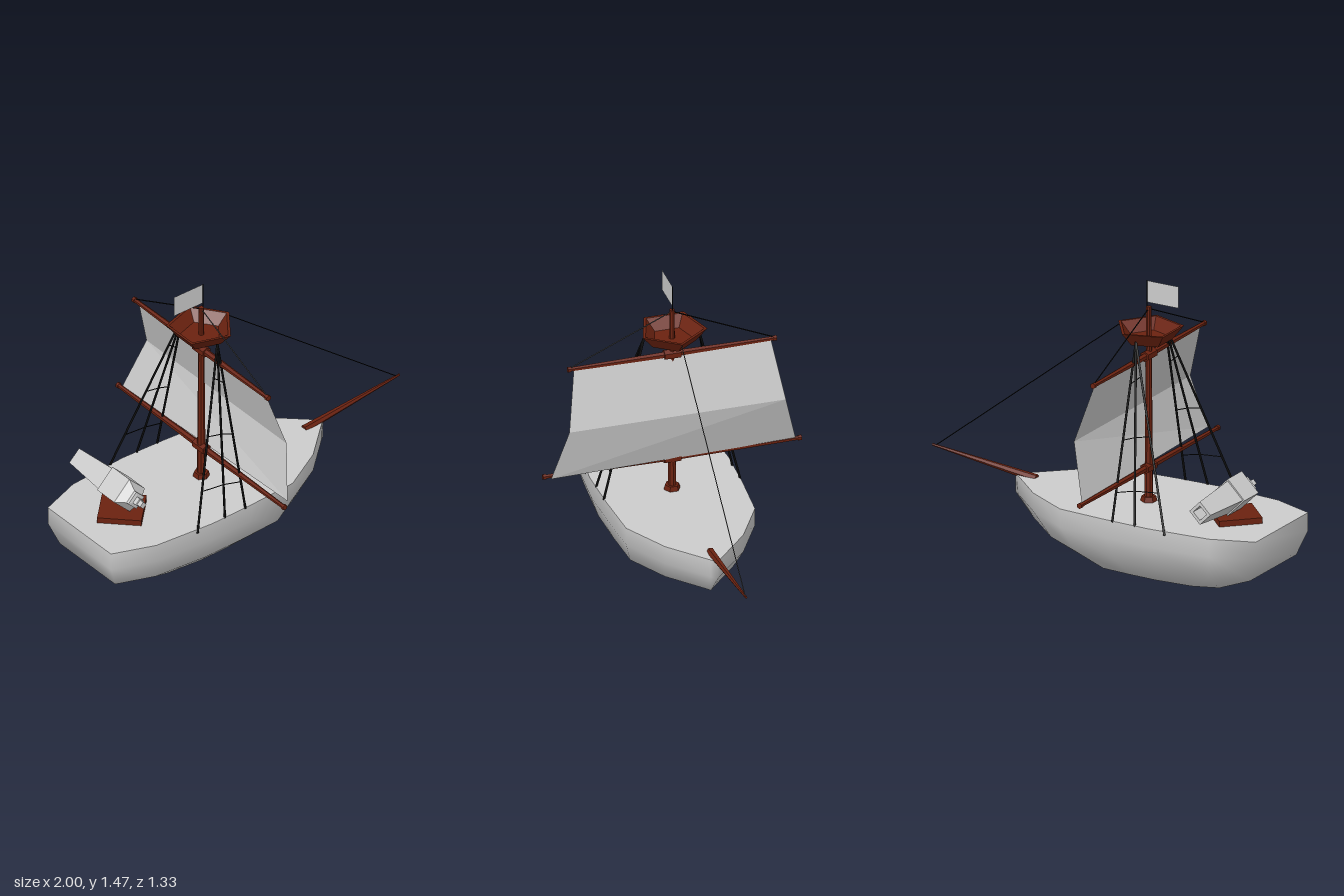
import * as THREE from 'three';

const DECK = 0.32, MAST_X = -0.24;
const V = (x, y, z) => new THREE.Vector3(x, y, z);

export function createModel() {
  const ship = new THREE.Group();
  ship.name = 'sailingShip';

  const grey = new THREE.MeshStandardMaterial({ color: 0xcccccc });
  const greyFlat = new THREE.MeshStandardMaterial({ color: 0xcccccc, flatShading: true });
  const cloth = new THREE.MeshStandardMaterial({ color: 0xcccccc, flatShading: true, side: THREE.DoubleSide });
  const wood = new THREE.MeshStandardMaterial({ color: 0x6b2210, flatShading: true });
  const rope = new THREE.MeshStandardMaterial({ color: 0x0a0a0a });

  const add = (name, geometry, material, parent = ship) => {
    const mesh = new THREE.Mesh(geometry, material);
    mesh.name = name;
    parent.add(mesh);
    return mesh;
  };

  // Tapered round bar between two points
  const beam = (name, a, b, ra, rb, sides, material, parent = ship) => {
    const dir = b.clone().sub(a);
    const mesh = add(name, new THREE.CylinderGeometry(rb, ra, dir.length(), sides), material, parent);
    mesh.position.copy(a).add(b).multiplyScalar(0.5);
    mesh.quaternion.setFromUnitVectors(V(0, 1, 0), dir.normalize());
    return mesh;
  };

  const meshFrom = (points, index) => {
    const g = new THREE.BufferGeometry().setFromPoints(points);
    g.setIndex(index);
    g.computeVertexNormals();
    return g;
  };

  // Hull: one outline, shrunk level by level toward the keel
  const half = [[0.52, 0], [0.49, 0.025], [0.3, 0.2], [0.07, 0.33], [-0.2, 0.348], [-0.45, 0.355], [-0.78, 0.33], [-1, 0.25]];
  const outline = [...half, ...half.slice(1).reverse().map(([x, z]) => [x, -z])];
  const N = outline.length;
  const ring = ([y, stern, bow, width]) => outline.map(([x, z]) =>
    V(stern + ((x + 1) / 1.52) * (bow - stern), y, z * width));
  const levels = [
    [DECK, -1, 0.52, 1], [0.225, -1, 0.52, 1], [0.1, -0.95, 0.41, 0.88], [0, -0.73, 0.17, 0.59],
  ];
  const hullPoints = levels.flatMap(ring);
  const hullIndex = [];
  const keel = hullPoints.push(V(-0.28, 0, 0)) - 1;
  for (let i = 0; i < N; i++) {
    const j = (i + 1) % N;
    for (let k = 0; k < levels.length - 1; k++) {
      const a = k * N + i, b = k * N + j;
      hullIndex.push(a, b, a + N, b, b + N, a + N);
    }
    hullIndex.push(keel, 3 * N + i, 3 * N + j);
  }
  add('hull', meshFrom(hullPoints, hullIndex), grey);

  const deckPoints = [...ring(levels[0]), V(-0.28, DECK, 0)];
  add('deck', meshFrom(deckPoints, outline.flatMap((_, i) => [N, (i + 1) % N, i])), grey);

  // Mast, its foot, and the bowsprit
  beam('mast', V(MAST_X, DECK, 0), V(MAST_X, 1.33, 0), 0.022, 0.013, 8, wood);
  beam('mastFoot', V(MAST_X, DECK, 0), V(MAST_X, 0.345, 0), 0.042, 0.036, 6, wood);
  beam('bowsprit', V(0.4, 0.315, 0), V(0.995, 0.383, 0), 0.021, 0.006, 6, wood);

  // Yards: two tapering arms, end caps and a centre collar
  const yard = (name, y, reach) => {
    const g = new THREE.Group();
    g.name = name;
    g.position.set(MAST_X, y, 0);
    ship.add(g);
    for (const s of [1, -1]) {
      beam('yardArm', V(0, 0, 0), V(0, 0, s * reach), 0.018, 0.011, 6, wood, g);
      beam('yardCap', V(0, 0, s * (reach - 0.016)), V(0, 0, s * reach), 0.015, 0.015, 6, wood, g);
    }
    beam('yardCollar', V(0, 0, -0.042), V(0, 0, 0.042), 0.027, 0.027, 6, wood, g);
  };
  yard('upperYard', 1.08, 0.535);
  yard('lowerYard', 0.495, 0.663);

  // Sail: bellied forward at mid height, one lower corner slightly ahead
  add('sail', meshFrom([
    V(-0.235, 1.08, 0.505), V(-0.235, 1.08, -0.505),
    V(-0.145, 0.78, 0.555), V(-0.145, 0.78, -0.555),
    V(-0.2, 0.5, 0.632), V(-0.235, 0.5, -0.632),
  ], [0, 2, 1, 1, 2, 3, 2, 4, 3, 3, 4, 5]), cloth);

  // Crow's nest: open five-sided basin with a corner toward the bow
  const nest = [[0, 1.155], [0.115, 1.155], [0.174, 1.225], [0.158, 1.225], [0.106, 1.17], [0, 1.17]];
  const nestMesh = add('crowsNest', new THREE.LatheGeometry(
    nest.map(([r, y]) => new THREE.Vector2(r, y)), 5, Math.PI / 2), wood);
  nestMesh.position.x = MAST_X;

  // Flag and its pole
  beam('flagPole', V(-0.23, 1.32, 0), V(-0.23, 1.465, 0), 0.002, 0.002, 5, rope);
  add('flag', new THREE.PlaneGeometry(0.18, 0.112), cloth).position.set(-0.32, 1.407, 0);

  // Rigging: forestay, yard lifts, shrouds and their cross ropes
  beam('forestay', V(-0.08, 1.215, 0), V(0.975, 0.383, 0), 0.0025, 0.0025, 5, rope);
  for (const s of [1, -1]) {
    beam('yardLift', V(MAST_X, 1.32, 0), V(MAST_X, 1.09, s * 0.515), 0.003, 0.003, 5, rope);
    const top = V(-0.25, 1.19, s * 0.14);
    const feet = [V(-0.54, 0.3, s * 0.352), V(-0.368, 0.315, s * 0.35), V(-0.24, 0.315, s * 0.35)];
    feet.forEach((foot) => beam('shroud', foot, top, 0.006, 0.006, 5, rope));
    for (const t of [0.22, 0.51, 0.82]) {
      const knots = feet.map((f, i) => f.clone().lerp(top, t - i * 0.028));
      beam('crossRope', knots[0], knots[1], 0.0025, 0.0025, 5, rope);
      beam('crossRope', knots[1], knots[2], 0.0025, 0.0025, 5, rope);
    }
  }

  // Cannon: square barrel on edge, pointing to the right, over a diamond base
  const cannon = new THREE.Group();
  cannon.name = 'cannon';
  cannon.position.set(-0.735, 0, 0);
  ship.add(cannon);
  add('cannonBase', new THREE.CylinderGeometry(0.155, 0.155, 0.03, 4), wood, cannon).position.y = DECK + 0.015;
  const barrel = [
    [0, -0.25], [0.038, -0.25], [0.038, -0.34], [0.06, -0.34], [0.062, -0.32], [0.086, -0.075],
    [0.096, -0.075], [0.096, 0.06], [0.05, 0.1], [0.05, 0.115], [0.026, 0.12], [0.026, 0.142],
    [0.02, 0.145], [0.02, 0.17], [0, 0.17],
  ];
  const barrelMesh = add('cannonBarrel', new THREE.LatheGeometry(
    barrel.map(([r, z]) => new THREE.Vector2(r, z)), 4), greyFlat, cannon);
  barrelMesh.rotation.x = Math.PI / 2;
  barrelMesh.position.y = 0.45;

  return ship;
}
